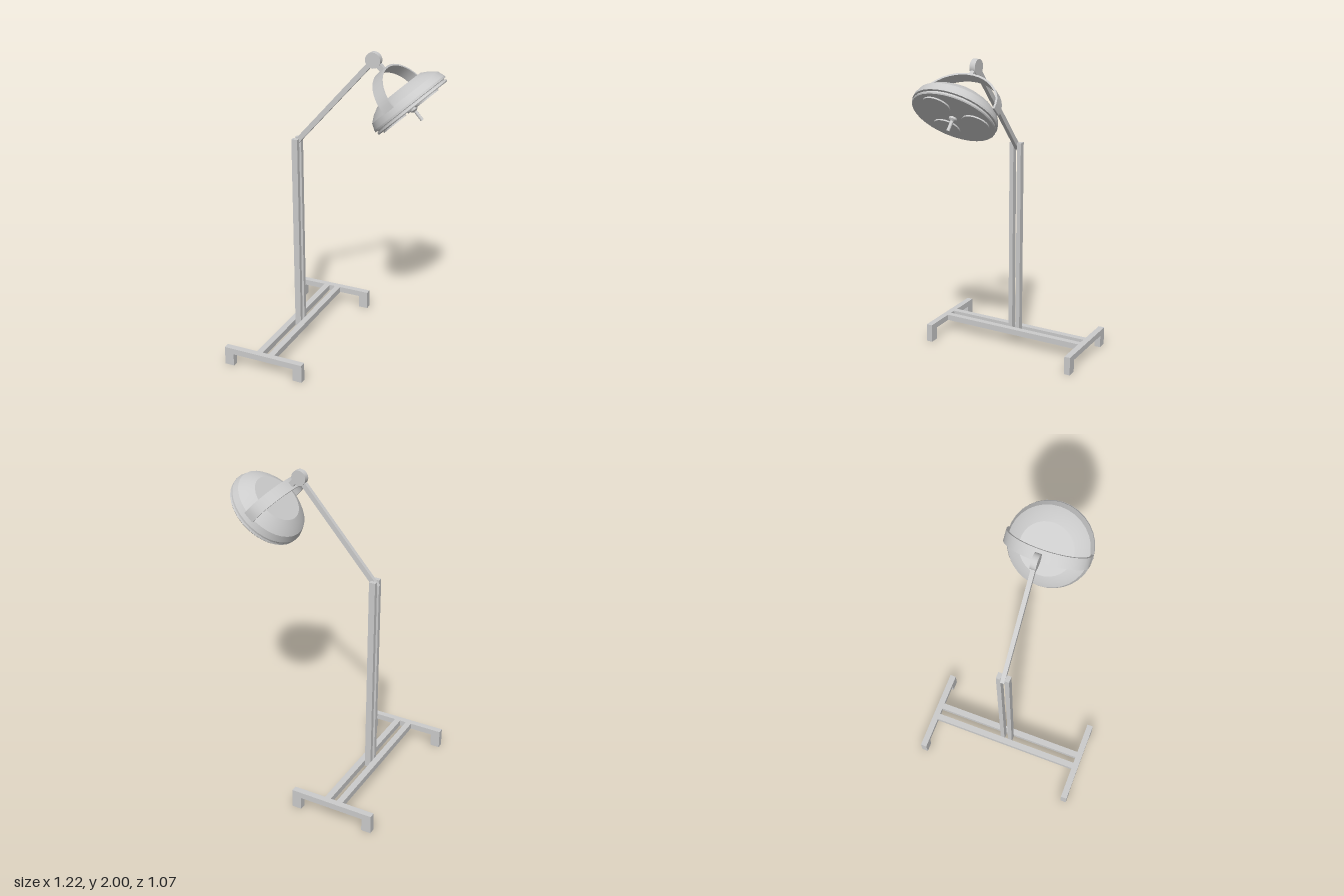
import * as THREE from 'three';
import { toCreasedNormals } from 'three/addons/utils/BufferGeometryUtils.js';

const grey = new THREE.MeshStandardMaterial({ color: 0xcccccc });

function add(parent, name, geometry, x = 0, y = 0, z = 0) {
  const mesh = new THREE.Mesh(geometry, grey);
  mesh.name = name;
  mesh.position.set(x, y, z);
  parent.add(mesh);
  return mesh;
}

// Box given by its limits on each axis
function block(parent, name, x0, x1, y0, y1, z0, z1) {
  return add(parent, name, new THREE.BoxGeometry(x1 - x0, y1 - y0, z1 - z0),
    (x0 + x1) / 2, (y0 + y1) / 2, (z0 + z1) / 2);
}

// Box beam between two points in the XY plane
function beam(parent, name, a, b, width, depth) {
  const dx = b[0] - a[0], dy = b[1] - a[1];
  const mesh = add(parent, name, new THREE.BoxGeometry(Math.hypot(dx, dy), width, depth),
    (a[0] + b[0]) / 2, (a[1] + b[1]) / 2, 0);
  mesh.rotation.z = Math.atan2(dy, dx);
  return mesh;
}

function lathe(profile, segments) {
  const points = profile.map(([r, y]) => new THREE.Vector2(r, y));
  return toCreasedNormals(new THREE.LatheGeometry(points, segments), 0.35);
}

// Arched strap, drawn as a band of even thickness and extruded across the lamp
function yokeGeometry(width, thickness) {
  const arch = (rx, ry) => {
    const pts = [];
    for (let i = 0; i <= 20; i++) {
      const t = (i / 20) * Math.PI;
      const c = Math.cos(t);
      pts.push(new THREE.Vector2(Math.sign(c) * Math.min(Math.abs(c) * rx, rx - 0.008), 0.07 + Math.sin(t) * ry));
    }
    return pts;
  };
  const outer = arch(0.264, 0.215);
  const inner = arch(0.264 - thickness, 0.215 - thickness).reverse();
  const geometry = new THREE.ExtrudeGeometry(new THREE.Shape([...outer, ...inner]),
    { depth: width, bevelEnabled: false });
  geometry.translate(0, 0, -width / 2);
  geometry.rotateY(Math.PI / 2);
  return toCreasedNormals(geometry, 0.5);
}

function createLampHead() {
  const head = new THREE.Group();
  head.name = 'lampHead';

  // Domed housing with a flat back and a grooved rim
  add(head, 'housing', lathe([
    [0, 0.004], [0.243, 0.004], [0.243, 0.022], [0.257, 0.024], [0.257, 0.036],
    [0.242, 0.076], [0.205, 0.108], [0.16, 0.133], [0, 0.133],
  ], 32));
  add(head, 'facePlate', lathe([[0, 0], [0.249, 0], [0.254, 0.006], [0.25, 0.016], [0, 0.016]], 32));

  // Three round light lenses
  for (const degrees of [70, 190, 310]) {
    const t = THREE.MathUtils.degToRad(degrees);
    add(head, 'lens', toCreasedNormals(new THREE.CylinderGeometry(0.082, 0.082, 0.012, 24), 0.5),
      0.14 * Math.sin(t), -0.003, 0.14 * Math.cos(t));
  }

  // Grip in the middle of the face
  add(head, 'handle', lathe([
    [0, -0.088], [0.01, -0.088], [0.01, -0.022], [0.024, -0.012], [0.024, 0], [0, 0],
  ], 16));

  add(head, 'yoke', yokeGeometry(0.072, 0.012));
  return head;
}

export function createModel() {
  const model = new THREE.Group();
  model.name = 'floorLamp';

  // Base: two side rails with feet, joined by a pair of cross bars
  for (const side of [-1, 1]) {
    const z0 = side * 0.517 - 0.02, z1 = side * 0.517 + 0.02;
    block(model, 'sideRail', -0.615, -0.07, 0.083, 0.122, z0, z1);
    block(model, 'backFoot', -0.615, -0.553, 0, 0.083, z0, z1);
    block(model, 'frontFoot', -0.132, -0.07, 0, 0.083, z0, z1);
  }
  for (const x of [-0.382, -0.3]) {
    block(model, 'crossBar', x - 0.02, x + 0.02, 0.083, 0.122, -0.497, 0.497);
  }

  // Twin uprights
  for (const side of [-1, 1]) {
    block(model, 'post', -0.362, -0.322, 0.083, 1.4, side * 0.027 - 0.014, side * 0.027 + 0.014);
  }

  // Slanted arm and the pivot at its end
  beam(model, 'arm', [-0.358, 1.36], [0.142, 1.922], 0.032, 0.026);
  const pivot = add(model, 'pivot',
    toCreasedNormals(new THREE.CylinderGeometry(0.048, 0.048, 0.036, 20), 0.5), 0.167, 1.952, 0);
  pivot.rotation.x = Math.PI / 2;
  beam(model, 'pivotStem', [0.18, 1.945], [0.232, 1.893], 0.034, 0.026);

  const head = createLampHead();
  head.position.set(0.42, 1.695, 0.006);
  head.rotation.z = THREE.MathUtils.degToRad(42.7);
  model.add(head);

  return model;
}
